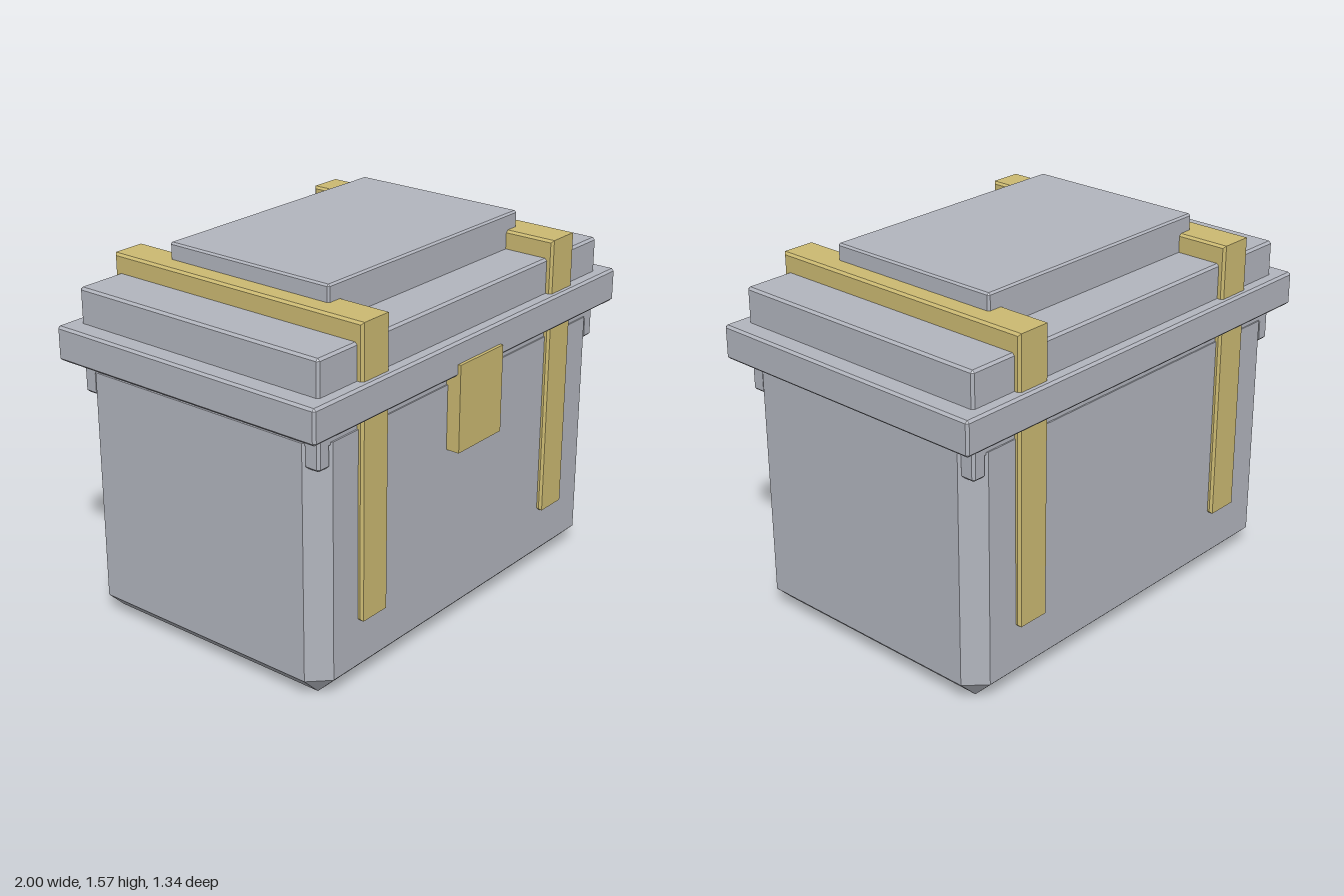
import * as THREE from 'three';
import { ConvexGeometry } from 'three/addons/geometries/ConvexGeometry.js';

const ZC = -0.007; // the latch sticks out in front, so the chest sits slightly back

// Box with chamfered edges, from half sizes and a height range; flatTop leaves the top edges sharp
function chamferBox(hx, y0, y1, hz, c, flatTop = false) {
  const points = [];
  const add = (x, y, z) => points.push(new THREE.Vector3(x, y, z));
  for (const sx of [-1, 1]) for (const sz of [-1, 1]) for (const top of [false, true]) {
    const y = top ? y1 : y0;
    const yIn = top ? (flatTop ? y1 : y1 - c) : y0 + c;
    add(sx * hx, yIn, sz * (hz - c));
    add(sx * (hx - c), yIn, sz * hz);
    if (!(top && flatTop)) add(sx * (hx - c), y, sz * (hz - c));
  }
  return new ConvexGeometry(points);
}

export function createModel() {
  const grey = new THREE.MeshStandardMaterial({ color: 0xb2b5be });
  grey.name = 'grey shell';
  const gold = new THREE.MeshStandardMaterial({ color: 0xccba72 });
  gold.name = 'gold trim';

  const model = new THREE.Group();
  model.name = 'chest';
  const add = (name, geometry, material, x = 0, z = ZC) => {
    const mesh = new THREE.Mesh(geometry, material);
    mesh.name = name;
    mesh.position.set(x, 0, z);
    model.add(mesh);
    return mesh;
  };

  // Body with chamfered corners and base
  add('body', chamferBox(0.922, 0, 1.08, 0.617, 0.08, true), grey);

  // Lid: stepped block, overhanging rim and raised top panel
  add('lid', chamferBox(0.914, 1.06, 1.42, 0.611, 0.01), grey);
  add('lidRim', chamferBox(0.998, 1.125, 1.27, 0.663, 0.01), grey);
  add('topPanel', chamferBox(0.611, 1.4, 1.57, 0.407, 0.008), grey);

  // Short feet of the lid that wrap the body corners
  for (const sx of [-1, 1]) for (const sz of [-1, 1]) {
    add('lidCorner', chamferBox(0.033, 0.978, 1.15, 0.036, 0.01), grey, sx * 0.881, ZC + sz * 0.575);
  }

  // Straps: bevelled U shapes running over the lid and down front and back
  const b = 0.01, h = 0.637 - b, inner = 0.56, low = 0.275 + b, high = 1.5 - b;
  const strapShape = new THREE.Shape([
    [-h, low], [-inner, low], [-inner, 1.38], [inner, 1.38],
    [inner, low], [h, low], [h, high], [-h, high],
  ].map(([u, v]) => new THREE.Vector2(u, v)));
  const strap = new THREE.ExtrudeGeometry(strapShape, {
    depth: 0.16 - 2 * b, bevelEnabled: true, bevelSize: b, bevelThickness: b, bevelSegments: 1,
  });
  strap.translate(0, 0, -0.08 + b);
  strap.rotateY(Math.PI / 2);
  for (const sx of [-1, 1]) add('strap', strap, gold, sx * 0.616);

  // Front latch plate
  const latch = new THREE.BoxGeometry(0.285, 0.373, 0.07);
  latch.translate(0, 0.99, 0);
  add('latch', latch, gold, 0, 0.635);

  return model;
}
